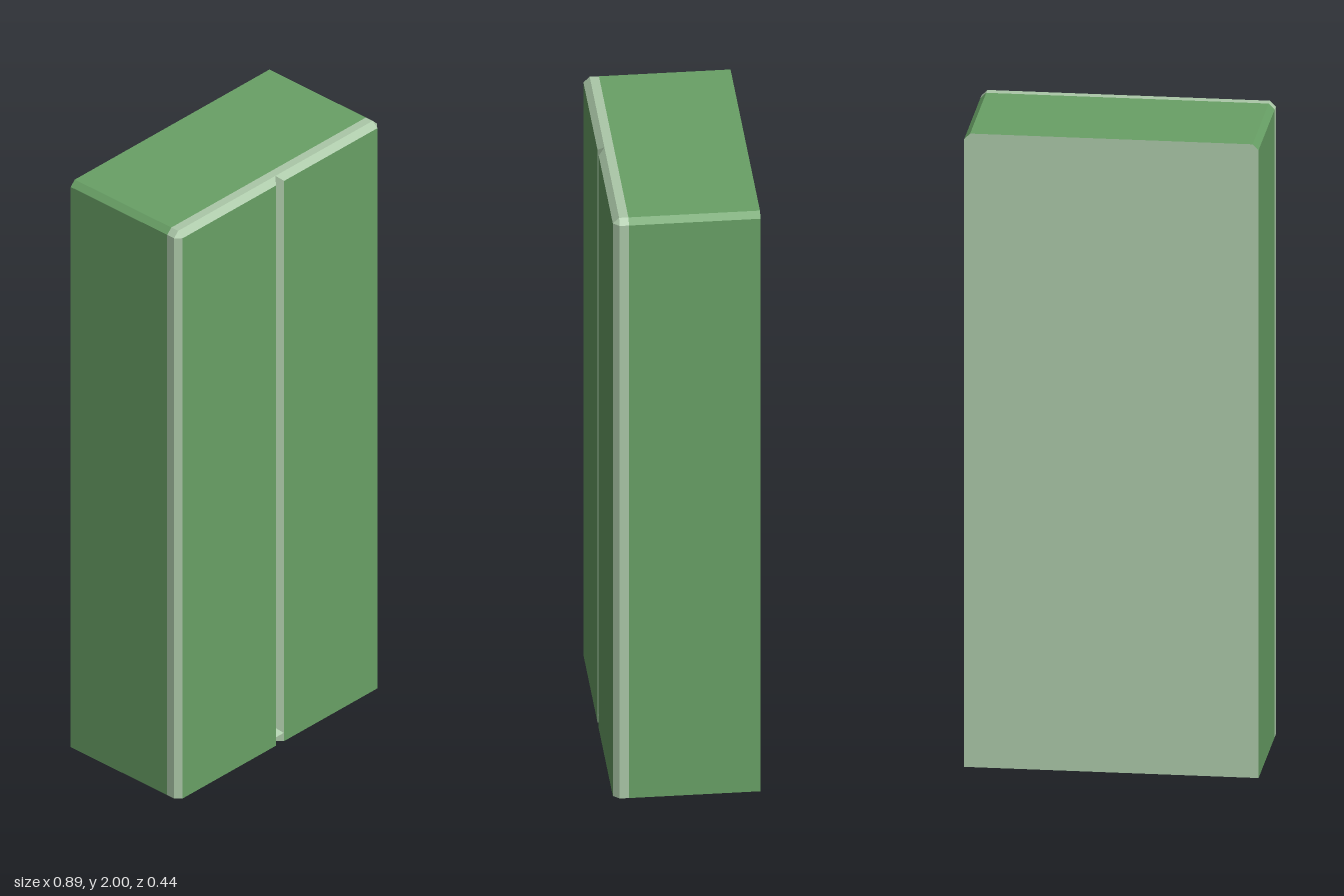
import * as THREE from 'three';

const W = 0.445, H = 2, BACK = -0.222, SEAM = 0.175, EDGE = 0.203, FRONT = 0.222, C = 0.018;
const FLOOR = 0.047;

const green = new THREE.MeshStandardMaterial({ color: 0x69a166, side: THREE.DoubleSide });
const pale = new THREE.MeshStandardMaterial({ color: 0xabc8a8, side: THREE.DoubleSide });

// Flat-faced strip between two open rings of [x, y] points at depths za and zb
function strip(ringA, za, ringB, zb) {
  const pos = [];
  for (let i = 0; i + 1 < ringA.length; i++) {
    const a0 = [...ringA[i], za], a1 = [...ringA[i + 1], za];
    const b0 = [...ringB[i], zb], b1 = [...ringB[i + 1], zb];
    pos.push(...a0, ...b0, ...a1, ...b0, ...b1, ...a1);
  }
  const g = new THREE.BufferGeometry();
  g.setAttribute('position', new THREE.Float32BufferAttribute(pos, 3));
  g.computeVertexNormals();
  return g;
}

const mirror = (ring) => ring.map(([x, y]) => [-x, y]).reverse();

export function createModel() {
  const model = new THREE.Group();
  model.name = 'cabinet';
  const add = (name, geometry, material) => {
    const mesh = new THREE.Mesh(geometry, material);
    mesh.name = name;
    model.add(mesh);
    return mesh;
  };

  // Body: sides and top with chamfered upper edges, open underneath
  const half = [[W - C, H], [W, H - C], [W, 0]];
  const outline = [...mirror(half), ...half];
  add('bodyShell', strip(outline, BACK, outline, SEAM), green);
  add('doorEdgeBand', strip(outline, SEAM, outline, EDGE), pale);

  // Back panel
  const shape = new THREE.Shape(outline.map(([x, y]) => new THREE.Vector2(x, y)));
  add('backPanel', new THREE.ShapeGeometry(shape).rotateY(Math.PI), pale).position.z = BACK;

  // Pair of doors with bevelled edges that form a V groove in the middle
  const rim = [[0, 0], [0, H], [W - C, H], [W, H - C], [W, 0]];
  const face = [[C, 0], [C, H - C], [W - C, H - C], [W - C, H - C], [W - C, 0]];
  for (const [side, s] of [['left', 1], ['right', -1]]) {
    const a = s > 0 ? rim : mirror(rim), b = s > 0 ? face : mirror(face);
    add(side + 'DoorBevel', strip(a, EDGE, b, FRONT), pale);
    add(side + 'Door', new THREE.PlaneGeometry(W - 2 * C, H - C), green)
      .position.set(s * W / 2, (H - C) / 2, FRONT);
  }

  // Recessed underside, with a small slope where it meets the doors
  add('underside', new THREE.PlaneGeometry(2 * W, EDGE - BACK).rotateX(Math.PI / 2), pale)
    .position.set(0, FLOOR, (EDGE + BACK) / 2);
  add('undersideLip', strip([[W, FLOOR], [-W, FLOOR]], EDGE, [[W - C, FLOOR - C], [C - W, FLOOR - C]], FRONT - 0.001), pale);

  return model;
}
